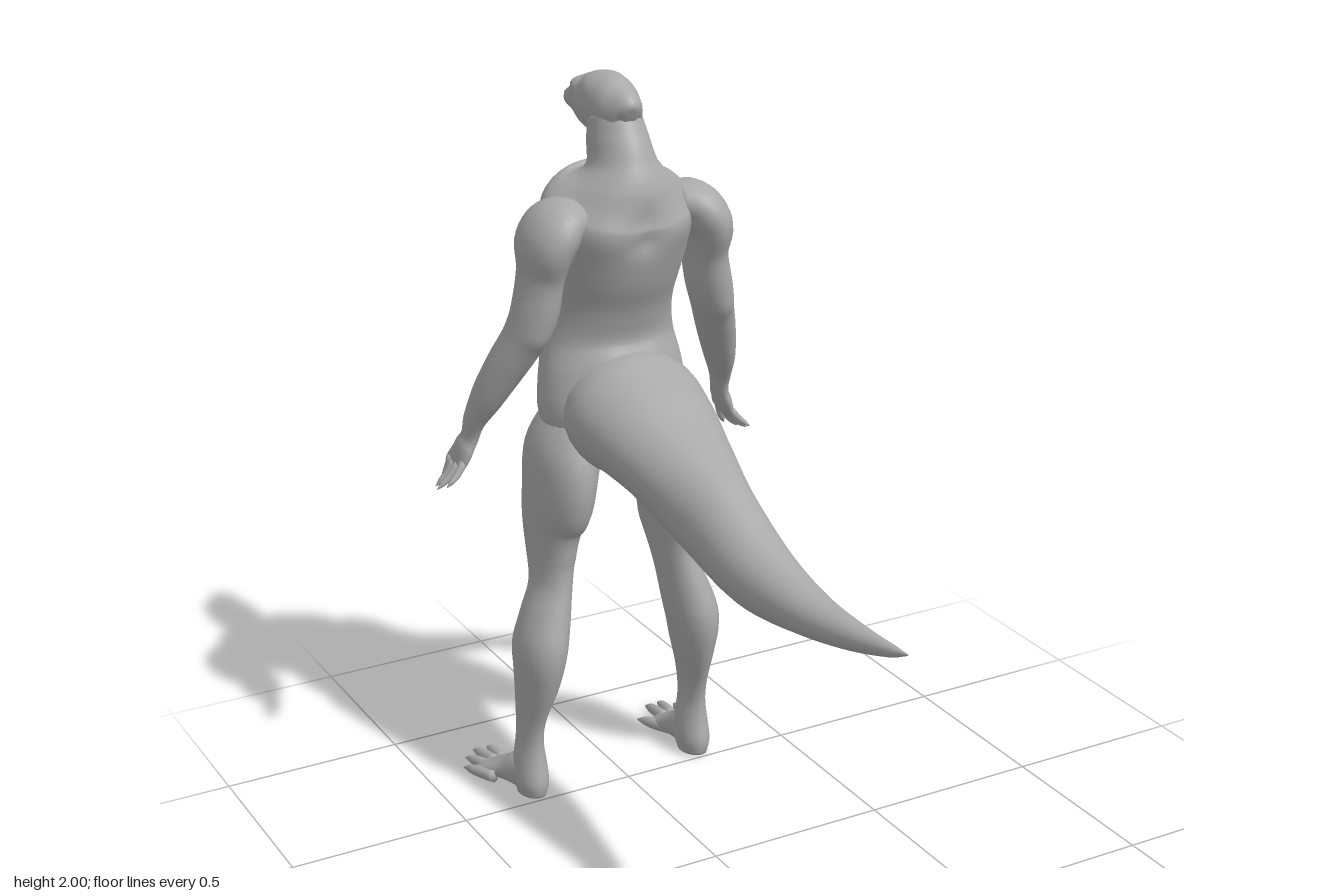
import * as THREE from 'three';

const skin = new THREE.MeshStandardMaterial({ color: 0xaaaaaa });
skin.name = 'grey skin';

const X = new THREE.Vector3(1, 0, 0);
const Z = new THREE.Vector3(0, 0, 1);

// Smooth loft through elliptical rings: rows of [x, y, z, half size along hint, other half size]
function loft(name, rows, { hint = X, sides = 28, steps = 5, bumps = [] } = {}) {
  const path = new THREE.CatmullRomCurve3(rows.map(r => new THREE.Vector3(r[0], r[1], r[2])));
  const size = new THREE.CatmullRomCurve3(rows.map(r => new THREE.Vector3(r[3], r[4], 0)), false, 'catmullrom');
  const n = (rows.length - 1) * steps;
  const pos = [], index = [];
  const ring = (c, S, B, a, b) => {
    for (let j = 0; j < sides; j++) {
      const t = (j / sides) * Math.PI * 2;
      const p = c.clone().addScaledVector(S, a * Math.cos(t)).addScaledVector(B, b * Math.sin(t));
      pos.push(p.x, Math.max(p.y, 0), p.z);
    }
  };
  for (let i = 0; i <= n; i++) {
    const c = path.getPoint(i / n), T = path.getTangent(i / n), s = size.getPoint(i / n);
    const S = hint.clone().addScaledVector(T, -hint.dot(T)).normalize();
    const B = T.clone().cross(S);
    if (i === 0) ring(c, S, B, 0, 0);
    ring(c, S, B, Math.max(s.x, 0), Math.max(s.y, 0));
    if (i === n) ring(c, S, B, 0, 0);
  }
  for (let i = 0; i < n + 2; i++) {
    for (let j = 0; j < sides; j++) {
      const k = (j + 1) % sides, a = i * sides, b = a + sides;
      index.push(a + j, a + k, b + k, a + j, b + k, b + j);
    }
  }
  const geo = new THREE.BufferGeometry();
  geo.setAttribute('position', new THREE.Float32BufferAttribute(pos, 3));
  geo.setIndex(index);
  geo.computeVertexNormals();
  if (bumps.length) sculpt(geo, bumps);
  const mesh = new THREE.Mesh(geo, skin);
  mesh.name = name;
  return mesh;
}

// Push the surface in or out around points: [x, y, z, radius, height]
function sculpt(geo, bumps) {
  const p = geo.attributes.position, nor = geo.attributes.normal;
  const v = new THREE.Vector3(), m = new THREE.Vector3();
  for (let i = 0; i < p.count; i++) {
    v.fromBufferAttribute(p, i);
    m.fromBufferAttribute(nor, i);
    let h = 0;
    for (const [x, y, z, r, d] of bumps) {
      const q = (v.x - x) ** 2 + (v.y - y) ** 2 + (v.z - z) ** 2;
      h += d * Math.exp(-q / (r * r));
    }
    v.addScaledVector(m, h);
    p.setXYZ(i, v.x, v.y, v.z);
  }
  geo.computeVertexNormals();
}

const both = list => list.flatMap(b => [b, [-b[0], ...b.slice(1)]]);

function arm(side) {
  const g = new THREE.Group();
  g.name = side > 0 ? 'leftArm' : 'rightArm';
  const flip = rows => rows.map(([x, ...r]) => [x * side, ...r]);
  g.add(loft('armAndPalm', flip([
    [0.13, 1.67, -0.47, 0.06, 0.04], [0.19, 1.65, -0.47, 0.105, 0.065],
    [0.228, 1.6, -0.475, 0.112, 0.066], [0.237, 1.52, -0.485, 0.092, 0.053],
    [0.255, 1.42, -0.487, 0.078, 0.056], [0.277, 1.35, -0.51, 0.068, 0.053],
    [0.31, 1.27, -0.55, 0.062, 0.05], [0.345, 1.18, -0.595, 0.054, 0.041],
    [0.37, 1.1, -0.635, 0.04, 0.026], [0.378, 1.05, -0.65, 0.036, 0.02],
    [0.39, 1.02, -0.66, 0.045, 0.02], [0.403, 0.985, -0.67, 0.047, 0.015],
    [0.41, 0.965, -0.673, 0.035, 0.01],
  ]), { hint: Z, bumps: [[side * 0.25, 1.43, -0.57, 0.05, 0.008], [side * 0.27, 1.36, -0.44, 0.03, 0.008]] }));
  // Fingers and thumb: base then tip
  const digits = [
    [0.408, 0.98, -0.708, 0.432, 0.915, -0.72], [0.41, 0.975, -0.685, 0.462, 0.908, -0.695],
    [0.41, 0.975, -0.66, 0.472, 0.912, -0.662], [0.405, 0.985, -0.636, 0.46, 0.93, -0.622],
    [0.385, 1.035, -0.685, 0.415, 0.965, -0.73],
  ];
  for (const [x, y, z, tx, ty, tz] of digits) {
    g.add(loft('finger', flip([
      [x, y, z, 0.013, 0.011], [x + (tx - x) * 0.4, y + (ty - y) * 0.5, z + (tz - z) * 0.5, 0.011, 0.01],
      [x + (tx - x) * 0.75, y + (ty - y) * 0.8, z + (tz - z) * 0.8, 0.008, 0.007], [tx, ty, tz, 0.001, 0.001],
    ]), { hint: Z, sides: 10, steps: 3 }));
  }
  return g;
}

function leg(side) {
  const g = new THREE.Group();
  g.name = side > 0 ? 'leftLeg' : 'rightLeg';
  // Stance leans slightly to one side towards the ground
  const place = rows => rows.map(([x, y, ...r]) => [x * side - 0.02 * Math.max(0, 1 - y), y, ...r]);
  g.add(loft('thighAndCalf', place([
    [0.11, 1.1, -0.57, 0.07, 0.11], [0.148, 1.0, -0.565, 0.088, 0.148],
    [0.165, 0.9, -0.56, 0.078, 0.155], [0.173, 0.8, -0.582, 0.067, 0.128],
    [0.18, 0.7, -0.576, 0.055, 0.105], [0.19, 0.62, -0.56, 0.051, 0.088],
    [0.215, 0.53, -0.545, 0.063, 0.095], [0.235, 0.45, -0.537, 0.067, 0.105],
    [0.242, 0.36, -0.545, 0.054, 0.094], [0.252, 0.25, -0.56, 0.036, 0.068],
    [0.255, 0.17, -0.565, 0.033, 0.057], [0.255, 0.1, -0.565, 0.042, 0.062],
    [0.255, 0.04, -0.558, 0.045, 0.066], [0.255, 0.003, -0.555, 0.036, 0.056],
  ]), { bumps: [[side * 0.19, 0.61, -0.65, 0.035, 0.01], [side * 0.16, 0.72, -0.67, 0.05, 0.008]] }));
  g.add(loft('foot', place([
    [0.255, 0.05, -0.52, 0.035, 0.045], [0.26, 0.056, -0.59, 0.044, 0.056],
    [0.268, 0.04, -0.65, 0.053, 0.04], [0.277, 0.026, -0.7, 0.066, 0.026],
    [0.28, 0.018, -0.735, 0.064, 0.017], [0.281, 0.015, -0.755, 0.045, 0.01],
  ])));
  // Five clawed toes: base x, tip x, tip z
  const toes = [[0.238, 0.197, -0.785], [0.262, 0.258, -0.85], [0.284, 0.3, -0.852], [0.306, 0.338, -0.82], [0.325, 0.366, -0.77]];
  for (const [x, tx, tz] of toes) {
    const bz = tz + 0.12;
    g.add(loft('toe', place([
      [x, 0.022, bz, 0.016, 0.018], [x + (tx - x) * 0.5, 0.018, bz - 0.05, 0.015, 0.017],
      [x + (tx - x) * 0.78, 0.014, bz - 0.085, 0.012, 0.013], [tx, 0.006, tz, 0.001, 0.001],
    ]), { sides: 10, steps: 3 }));
  }
  return g;
}

export function createModel() {
  const model = new THREE.Group();
  model.name = 'lizardFigure';

  // Pelvis, waist, ribcage and neck in one skin
  model.add(loft('torsoAndNeck', [
    [0, 0.93, -0.56, 0.03, 0.03], [0, 0.95, -0.56, 0.09, 0.09], [0, 1.0, -0.56, 0.165, 0.14],
    [0, 1.1, -0.56, 0.205, 0.158], [0, 1.2, -0.57, 0.202, 0.148], [0, 1.3, -0.585, 0.184, 0.135],
    [0, 1.4, -0.58, 0.176, 0.153], [0, 1.5, -0.565, 0.188, 0.178], [0, 1.6, -0.535, 0.2, 0.182],
    [0, 1.68, -0.505, 0.2, 0.165], [0, 1.735, -0.488, 0.14, 0.135], [0, 1.78, -0.49, 0.088, 0.108],
    [0, 1.84, -0.51, 0.075, 0.095], [0, 1.9, -0.53, 0.064, 0.085],
  ], {
    sides: 48, steps: 6,
    bumps: [
      ...both([
        [0.09, 1.56, -0.7, 0.06, 0.014], [0.1, 1.62, -0.36, 0.06, 0.014], [0.13, 1.7, -0.52, 0.04, 0.01],
        [0.08, 1.46, -0.73, 0.03, -0.008], [0.05, 1.25, -0.46, 0.05, 0.012], [0.15, 1.13, -0.67, 0.04, 0.01],
        [0.1, 1.04, -0.7, 0.03, -0.008],
      ]),
      [0, 1.56, -0.73, 0.03, -0.01], [0, 1.66, -0.33, 0.025, -0.018], [0, 1.6, -0.35, 0.025, -0.014],
    ],
  }));

  // Head with brow, eyes and a mouth crease
  const mouth = [-0.65, -0.67, -0.69, -0.71, -0.73, -0.75].map(z => [0.04, 1.878 + (z + 0.65) * 0.05, z, 0.011, -0.006]);
  model.add(loft('head', [
    [0, 1.905, -0.43, 0.015, 0.025], [0, 1.913, -0.445, 0.04, 0.05], [0, 1.912, -0.49, 0.06, 0.074],
    [0, 1.915, -0.545, 0.068, 0.084], [0, 1.912, -0.61, 0.067, 0.078], [0, 1.91, -0.66, 0.058, 0.062],
    [0, 1.903, -0.7, 0.046, 0.045], [0, 1.895, -0.74, 0.035, 0.03], [0, 1.888, -0.765, 0.022, 0.018],
  ], {
    sides: 48, steps: 7,
    bumps: both([[0.05, 1.957, -0.645, 0.022, 0.014], [0.045, 1.97, -0.58, 0.03, 0.006], [0.025, 1.915, -0.755, 0.01, 0.004], ...mouth]),
  }));

  // Heavy tail, rising at the tip
  model.add(loft('tail', [
    [0, 1.14, -0.58, 0.15, 0.12], [0, 1.12, -0.45, 0.19, 0.165], [0, 1.1, -0.34, 0.18, 0.145],
    [0, 1.057, -0.2, 0.15, 0.125], [0, 0.98, 0, 0.108, 0.122], [0, 0.912, 0.22, 0.09, 0.095],
    [0, 0.902, 0.45, 0.062, 0.058], [0.005, 0.919, 0.65, 0.036, 0.034], [0.01, 0.945, 0.8, 0.014, 0.014],
    [0.01, 0.96, 0.855, 0.002, 0.002],
  ], { sides: 36, steps: 6 }));

  for (const side of [1, -1]) model.add(arm(side), leg(side));
  return model;
}
